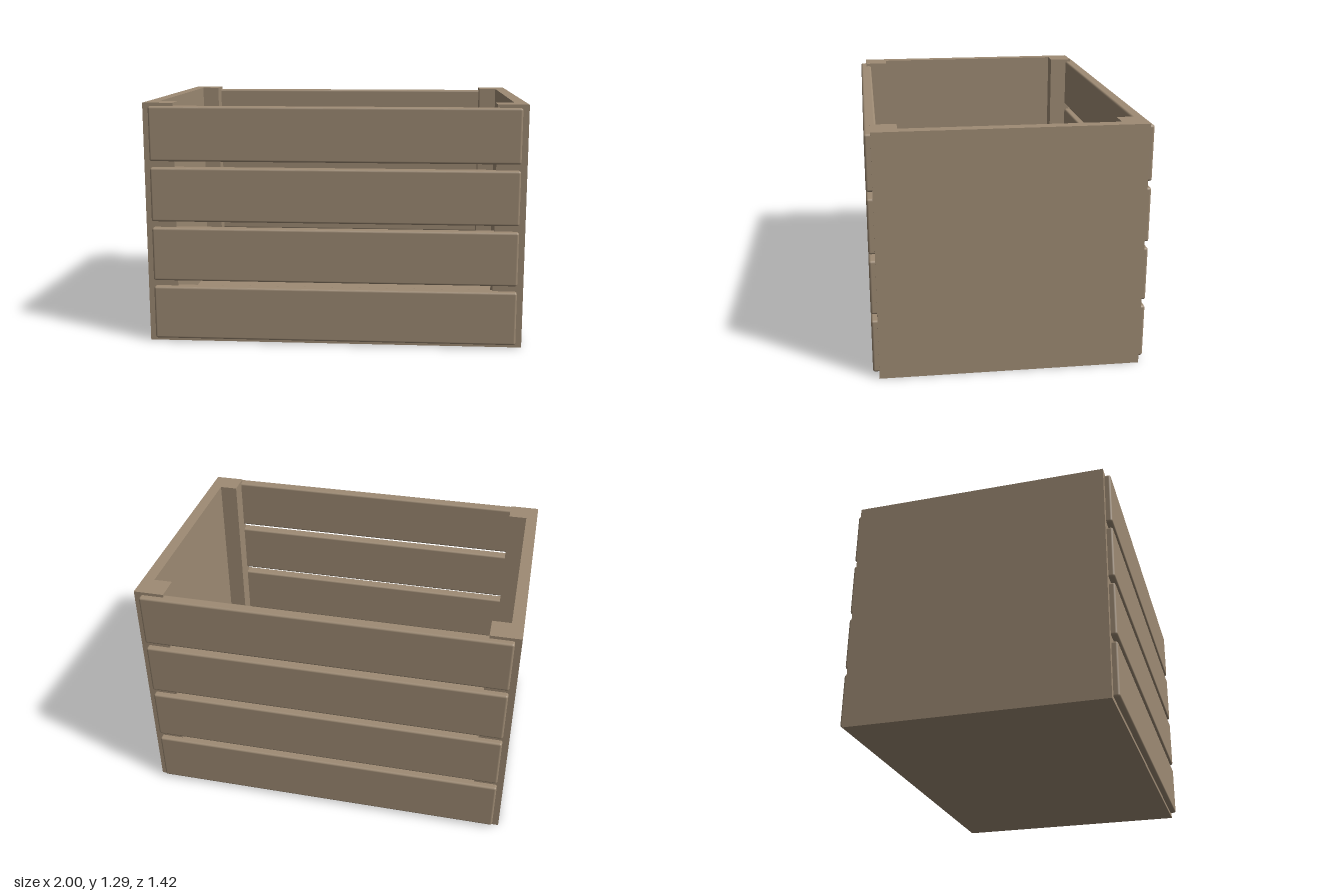
import * as THREE from 'three';
import { RoundedBoxGeometry } from 'three/addons/geometries/RoundedBoxGeometry.js';

const HEIGHT = 1.29, DEPTH = 0.677;

export function createModel() {
  const crate = new THREE.Group();
  crate.name = 'crate';
  const wood = new THREE.MeshStandardMaterial({ color: 0x9e8b74 });
  wood.name = 'wood';

  const add = (name, geometry, x, y, z) => {
    const mesh = new THREE.Mesh(geometry, wood);
    mesh.name = name;
    mesh.position.set(x, y, z);
    crate.add(mesh);
    return mesh;
  };

  // End walls: C-shaped plan with a corner post at each end, extruded upward
  const plan = new THREE.Shape([
    [1, -DEPTH], [1, DEPTH], [0.84, DEPTH], [0.84, 0.548],
    [0.938, 0.548], [0.938, -0.548], [0.84, -0.548], [0.84, -DEPTH],
  ].map(([x, z]) => new THREE.Vector2(x, z)));
  const endWall = new THREE.ExtrudeGeometry(plan, { depth: HEIGHT, bevelEnabled: false });
  endWall.rotateX(-Math.PI / 2);
  add('leftEndWall', endWall, 0, 0, 0);
  add('rightEndWall', endWall, 0, 0, 0).rotation.y = Math.PI;

  // Floor panel between the end walls
  add('floor', new THREE.BoxGeometry(1.876, 0.06, DEPTH * 2), 0, 0.03, 0);

  // Four soft-edged slats along the front and the back
  const slat = new RoundedBoxGeometry(1.932, 0.288, 0.062, 2, 0.012);
  for (const [side, sign] of [['front', 1], ['back', -1]]) {
    for (let i = 0; i < 4; i++) {
      add(`${side}Slat${i + 1}`, slat, 0, 0.164 + i * 0.322, sign * 0.678);
    }
  }
  return crate;
}
